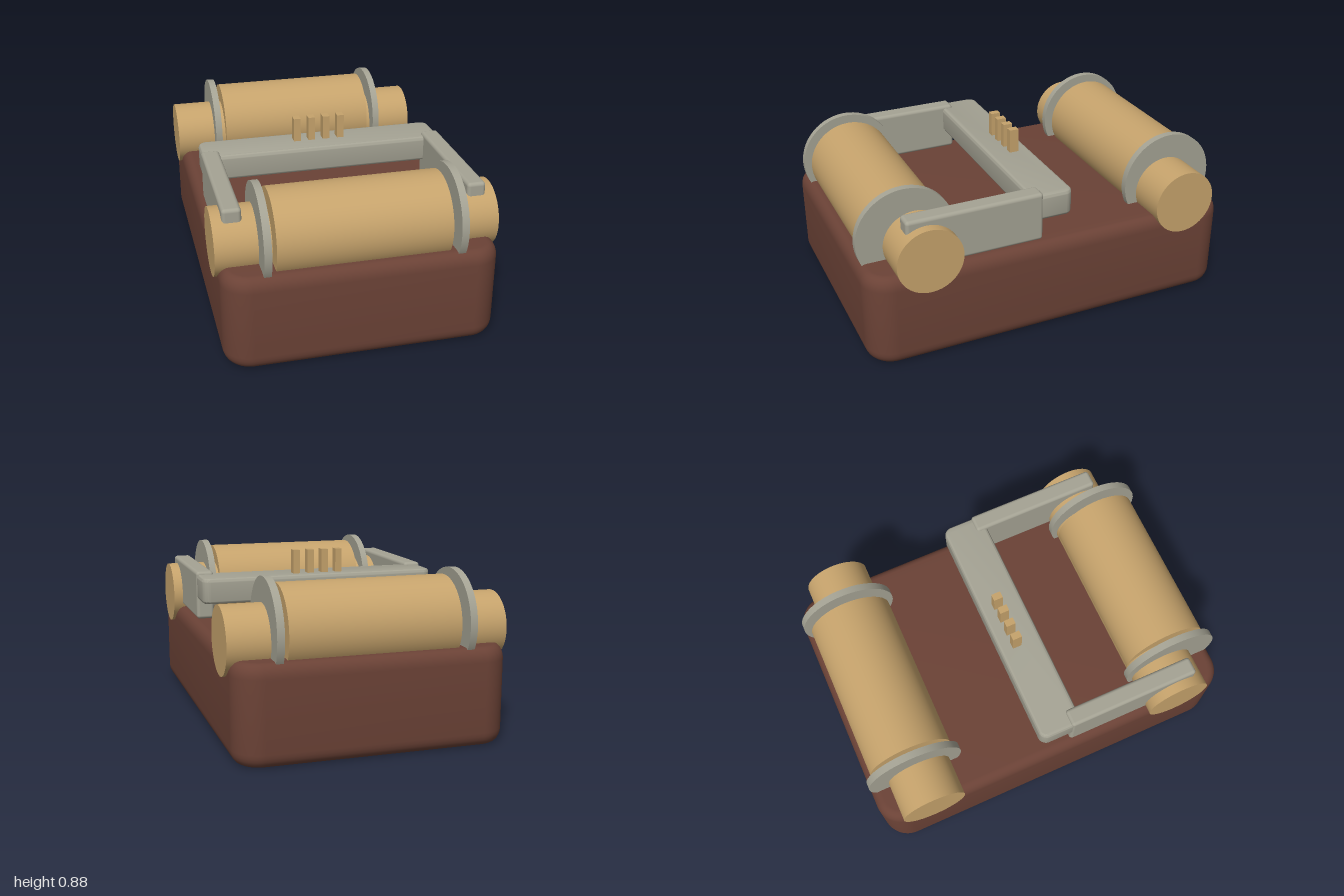
import * as THREE from 'three';
import { toCreasedNormals } from 'three/addons/utils/BufferGeometryUtils.js';
import { RoundedBoxGeometry } from 'three/addons/geometries/RoundedBoxGeometry.js';

const material = (name, color) => {
  const m = new THREE.MeshStandardMaterial({ color });
  m.name = name;
  return m;
};

// Slab lying flat: rounded outline in plan, softened top and bottom edges
function softSlab(w, h, d, corner, bevelSize, bevelThickness) {
  const x = w / 2, z = d / 2, r = corner;
  const s = new THREE.Shape();
  s.moveTo(-x + r, -z);
  s.lineTo(x - r, -z);
  s.absarc(x - r, -z + r, r, -Math.PI / 2, 0);
  s.lineTo(x, z - r);
  s.absarc(x - r, z - r, r, 0, Math.PI / 2);
  s.lineTo(-x + r, z);
  s.absarc(-x + r, z - r, r, Math.PI / 2, Math.PI);
  s.lineTo(-x, -z + r);
  s.absarc(-x + r, -z + r, r, Math.PI, Math.PI * 1.5);
  const geo = new THREE.ExtrudeGeometry(s, {
    depth: h - 2 * bevelThickness, bevelEnabled: true, bevelSize, bevelThickness,
    bevelOffset: -bevelSize, bevelSegments: 6, curveSegments: 10,
  });
  geo.rotateX(-Math.PI / 2).translate(0, bevelThickness, 0);
  return toCreasedNormals(geo, 0.7);
}

export function createModel() {
  const model = new THREE.Group();
  model.name = 'rollerDevice';
  const brown = material('brown', 0x6b4236);
  const tan = material('tan', 0xc6a36c);
  const grey = material('grey', 0xa5a394);

  const add = (parent, name, geo, mat, x, y, z) => {
    const mesh = new THREE.Mesh(geo, mat);
    mesh.name = name;
    mesh.position.set(x, y, z);
    parent.add(mesh);
    return mesh;
  };
  // Cylinder along x
  const roller = (r, length) =>
    new THREE.CylinderGeometry(r, r, length, 64).rotateZ(Math.PI / 2);

  // Base block
  add(model, 'base', softSlab(1.38, 0.495, 2, 0.14, 0.05, 0.07), brown, 0, 0, 0);

  // Front and back rollers: axle, drum and two flanges
  for (const [name, axleZ, drumZ] of [['frontRoller', 0.69, 0.74], ['backRoller', -0.725, -0.742]]) {
    const group = new THREE.Group();
    group.name = name;
    model.add(group);
    add(group, 'axle', roller(0.17, 1.41), tan, 0, 0.56, axleZ);
    add(group, 'drum', roller(0.223, 0.86), tan, 0, 0.602, drumZ);
    for (const side of [1, -1]) {
      add(group, 'flange', roller(0.256, 0.037), grey, side * 0.477, 0.602, drumZ);
    }
  }

  // Carriage: crossbar with two arms reaching to the front axle
  const carriage = new THREE.Group();
  carriage.name = 'carriage';
  model.add(carriage);
  add(carriage, 'crossbar', softSlab(1.3, 0.135, 0.23, 0.045, 0.015, 0.02), grey, 0, 0.614, 0.02);
  for (const side of [1, -1]) {
    add(carriage, 'arm', new RoundedBoxGeometry(0.095, 0.26, 0.715, 4, 0.018), grey,
      side * 0.607, 0.635, 0.432);
  }

  // Row of pegs on the crossbar
  for (let i = 0; i < 4; i++) {
    add(carriage, 'peg', new THREE.BoxGeometry(0.037, 0.16, 0.05), tan, -0.122 + i * 0.08, 0.797, -0.003);
  }
  return model;
}
